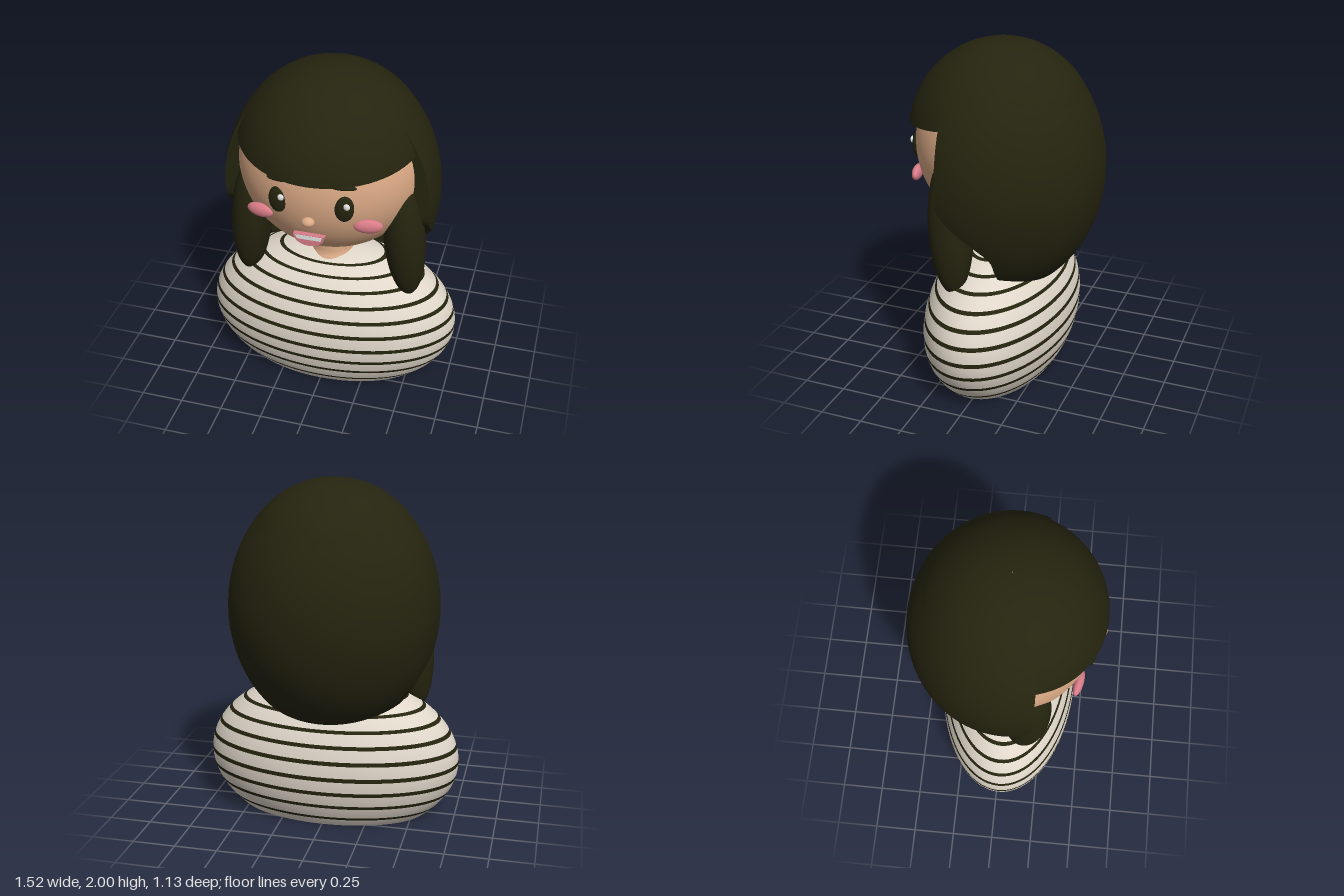
import * as THREE from 'three';
import { ParametricGeometry } from 'three/addons/geometries/ParametricGeometry.js';

const flat = (name, color, side = THREE.FrontSide) => {
  const m = new THREE.MeshStandardMaterial({ color, side });
  m.name = name;
  return m;
};

export function createModel() {
  const model = new THREE.Group();
  model.name = 'girlBust';
  const hair = flat('dark hair', 0x25240f, THREE.DoubleSide);
  const skin = flat('skin', 0xdcaa86);
  const wool = flat('cream wool', 0xe0d7ca, THREE.DoubleSide);
  const pink = flat('pink', 0xd97c88);
  const white = flat('white', 0xffffff);

  const add = (name, geometry, material, parent = model) => {
    const mesh = new THREE.Mesh(geometry, material);
    mesh.name = name;
    parent.add(mesh);
    return mesh;
  };
  const ball = (name, material, [x, y, z], [rx, ry, rz], detail = 24) => {
    const g = new THREE.SphereGeometry(1, detail * 2, detail).scale(rx, ry, rz);
    const mesh = add(name, g, material);
    mesh.position.set(x, y, z);
    return mesh;
  };

  // Striped jumper: an open ellipsoid cut into bands by angle
  const jumper = new THREE.Group();
  jumper.name = 'jumper';
  model.add(jumper);
  const band = (name, a, b, material) => {
    const n = Math.max(2, Math.ceil((b - a) / 0.04));
    const points = [];
    for (let i = 0; i <= n; i++) {
      const t = a + (b - a) * i / n;
      points.push(new THREE.Vector2(0.76 * Math.cos(t), 0.33 + 0.5 * Math.sin(t)));
    }
    const g = new THREE.LatheGeometry(points, 80).scale(1, 1, 0.42 / 0.76);
    add(name, g, material, jumper).position.z = 0.02;
  };
  let from = Math.asin(-0.66);
  for (const y of [0.06, 0.15, 0.24, 0.333, 0.43, 0.52, 0.602, 0.677, 0.737, 0.783]) {
    const a = Math.asin((y - 0.33) / 0.5);
    const half = 0.0125 / Math.hypot(0.5 * Math.cos(a), 0.76 * Math.sin(a));
    band('jumperBand', from, a - half, wool);
    band('jumperStripe', a - half, a + half, hair);
    from = a + half;
  }
  band('jumperCollar', from, 1.45, wool);

  // Neck and head
  const neckProfile = [[0.12, 0.77], [0.143, 0.78], [0.145, 0.793], [0.13, 0.808], [0.121, 0.84], [0.12, 0.98]];
  add('neck', new THREE.LatheGeometry(neckProfile.map(p => new THREE.Vector2(...p)), 48), skin).position.z = 0.03;
  ball('head', skin, [0, 1.42, 0.02], [0.54, 0.53, 0.5], 40);

  // Back hair: ellipsoid shell whose front is cut away, further back below the chin
  const backRing = lat => {
    const y = 1.25 + 0.75 * Math.sin(lat);
    const c = Math.cos(lat);
    const cut = 0.2 - 0.3 * THREE.MathUtils.smoothstep(1.2 - y, 0, 0.35);
    const start = Math.acos(THREE.MathUtils.clamp((cut - 0.03) / (0.595 * c), -1, 1));
    return { y, c, start };
  };
  const latitude = v => -1.3 + 2.866 * v;
  add('backHair', new ParametricGeometry((u, v, p) => {
    const { y, c, start } = backRing(latitude(v));
    const a = start + (2 * Math.PI - 2 * start) * u;
    p.set(0.62 * c * Math.sin(a), y, 0.03 + 0.595 * c * Math.cos(a));
  }, 72, 64), hair);
  add('backHairFront', new ParametricGeometry((u, v, p) => {
    const { y, c, start } = backRing(latitude(v));
    p.set(0.62 * c * Math.sin(start) * (2 * u - 1), y, 0.03 + 0.595 * c * Math.cos(start));
  }, 8, 64), hair);

  // Fringe: a cap with a lower edge that dips at the front, and a lip beneath
  const fringePoint = (u, v, p) => {
    const a = -2 * Math.PI * u;
    const edge = 1.62 - 0.085 * Math.max(0, Math.cos(a));
    const t = 0.004 + (Math.acos((edge - 1.45) / 0.55) - 0.004) * v;
    p.set(0.55 * Math.sin(t) * Math.sin(a), 1.45 + 0.55 * Math.cos(t), 0.03 + 0.535 * Math.sin(t) * Math.cos(a));
  };
  add('fringe', new ParametricGeometry(fringePoint, 72, 28), hair);
  add('fringeLip', new ParametricGeometry((u, v, p) => {
    fringePoint(u, 1, p);
    p.x *= 1 - 0.14 * v;
    p.z *= 1 - 0.14 * v;
  }, 72, 2), hair);

  // Paired parts
  for (const s of [-1, 1]) {
    const lock = ball('sideLock', hair, [s * 0.455, 1.035, 0.165], [0.118, 0.41, 0.13], 28);
    lock.rotation.z = s * 0.09;
    lock.rotation.x = 0.06;

    ball('eye', hair, [s * 0.185, 1.385, 0.485], [0.053, 0.08, 0.027]).rotation.y = s * 0.2;
    ball('eyeHighlight', white, [s * 0.182 + 0.022, 1.413, 0.508], [0.018, 0.02, 0.009], 12);

    const brow = ball('eyebrow', hair, [s * 0.18, 1.518, 0.487], [0.073, 0.015, 0.018], 12);
    brow.rotation.set(0, s * 0.32, -s * 0.13);

    ball('blush', pink, [s * 0.305, 1.26, 0.432], [0.08, 0.042, 0.028]).rotation.y = s * 0.2;
  }
  ball('nose', skin, [0, 1.303, 0.54], [0.037, 0.028, 0.03], 16);

  // Smiling mouth with a strip of teeth
  const smile = new THREE.Shape();
  smile.moveTo(-0.088, 1.21);
  smile.bezierCurveTo(-0.08, 1.12, 0.08, 1.12, 0.088, 1.21);
  smile.closePath();
  const mouth = add('mouth', new THREE.ExtrudeGeometry(smile, { depth: 0.03, bevelEnabled: false, curveSegments: 24 }), pink);
  mouth.position.z = 0.503;

  const strip = new THREE.Shape();
  strip.moveTo(-0.075, 1.207);
  strip.lineTo(-0.066, 1.183);
  strip.lineTo(0.066, 1.183);
  strip.lineTo(0.075, 1.207);
  strip.closePath();
  add('teeth', new THREE.ExtrudeGeometry(strip, { depth: 0.004, bevelEnabled: false }), white).position.z = 0.531;

  return model;
}
